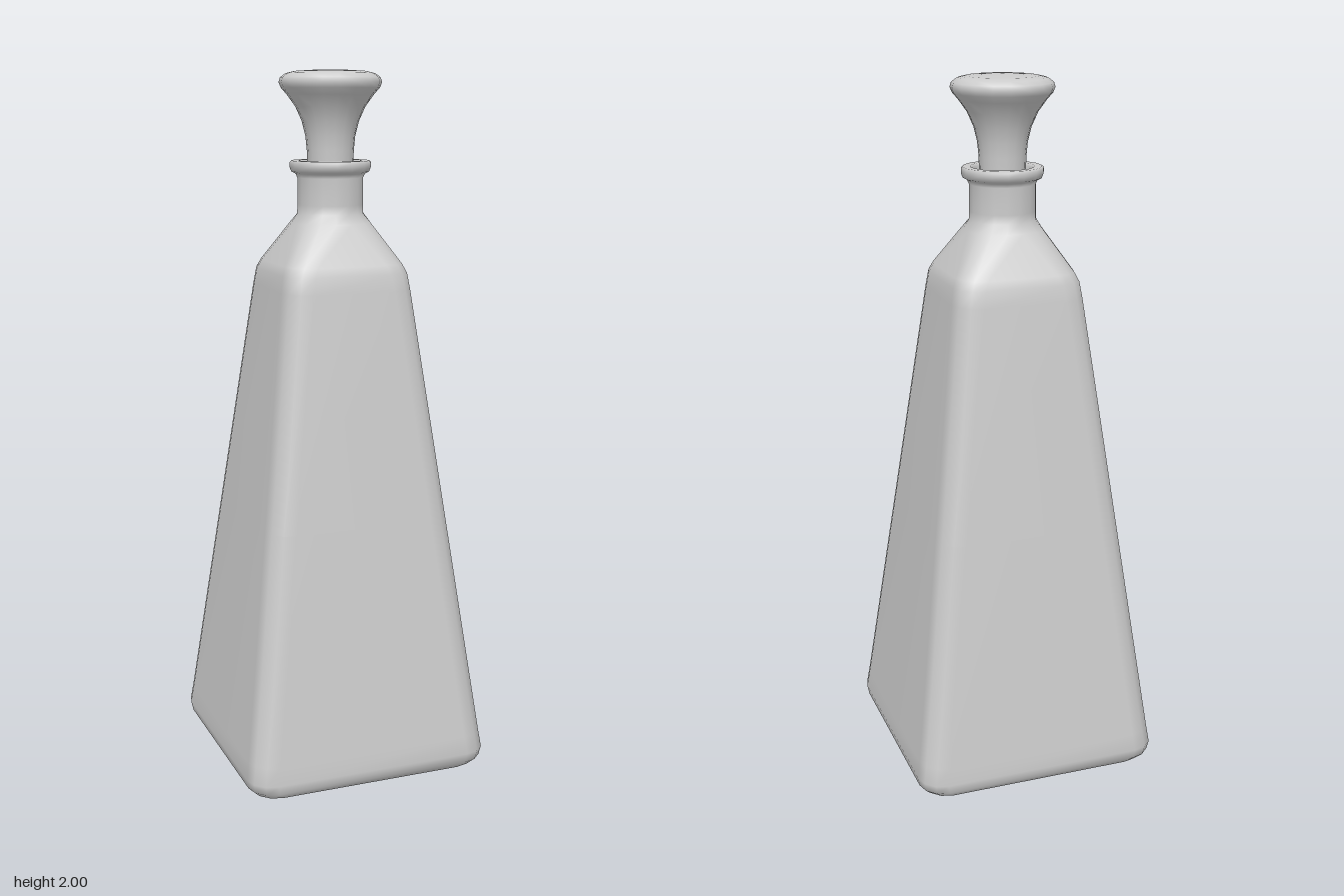
import * as THREE from 'three';

const grey = new THREE.MeshStandardMaterial({ color: 0xcccccc });

// 16-point section: square of half width h with corner radius r, or a circle when r is omitted
function section(h, y, r) {
  const points = [];
  for (let corner = 0; corner < 4; corner++) {
    const mid = (corner + 0.5) * Math.PI / 2;
    for (let k = 0; k < 4; k++) {
      const round = r === undefined;
      const a = mid + (k - 1.5) * (round ? Math.PI / 8 : Math.PI / 6);
      const rad = round ? h : r;
      const inset = round ? 0 : (h - r) * Math.SQRT2;
      points.push([inset * Math.cos(mid) + rad * Math.cos(a), y, inset * Math.sin(mid) + rad * Math.sin(a)]);
    }
  }
  return points;
}

// Smooth skin over a stack of sections
function loft(sections) {
  const n = sections[0].length;
  const index = [];
  for (let j = 0; j < sections.length - 1; j++) {
    for (let i = 0; i < n; i++) {
      const a = j * n + i, b = j * n + (i + 1) % n;
      index.push(a, a + n, b, b, a + n, b + n);
    }
  }
  const geometry = new THREE.BufferGeometry();
  geometry.setAttribute('position', new THREE.Float32BufferAttribute(sections.flat(2), 3));
  geometry.setIndex(index);
  geometry.computeVertexNormals();
  return geometry;
}

export function createModel() {
  const group = new THREE.Group();

  // Square tapering bottle: hollow base, body, shoulder, round neck, lip and mouth
  const bottle = new THREE.Mesh(loft([
    section(0, 0.05),
    section(0.08, 0.046),
    section(0.15, 0.032),
    section(0.21, 0.01),
    section(0.24, 0.003),
    section(0.305, 0.003, 0.06),
    section(0.338, 0.013, 0.07),
    section(0.355, 0.033, 0.07),
    section(0.36, 0.06, 0.07),
    section(0.353, 0.11, 0.07),
    section(0.272, 0.75, 0.07),
    section(0.19, 1.4, 0.07),
    section(0.183, 1.445, 0.07),
    section(0.172, 1.47, 0.07),
    section(0.108, 1.58, 0.085),
    section(0.095, 1.605),
    section(0.094, 1.63),
    section(0.094, 1.705),
    section(0.099, 1.716),
    section(0.111, 1.722),
    section(0.116, 1.735),
    section(0.116, 1.747),
    section(0.111, 1.752),
    section(0.09, 1.752),
    section(0.083, 1.745),
    section(0.08, 1.72),
    section(0.08, 1.6),
  ]), grey);
  bottle.name = 'bottle';
  group.add(bottle);

  // Flared stopper with a domed top and a plug inside the neck
  const profile = [
    [0, 1.62], [0.055, 1.62], [0.06, 1.63], [0.065, 1.74], [0.066, 1.78], [0.07, 1.82], [0.08, 1.86],
    [0.098, 1.9], [0.122, 1.933], [0.138, 1.951], [0.144, 1.966], [0.14, 1.979],
    [0.125, 1.99], [0.1, 1.996], [0.05, 1.999], [0, 2],
  ].map(([x, y]) => new THREE.Vector2(x, y));
  const stopper = new THREE.Mesh(new THREE.LatheGeometry(profile, 18, Math.PI / 2), grey);
  stopper.name = 'stopper';
  group.add(stopper);

  return group;
}
